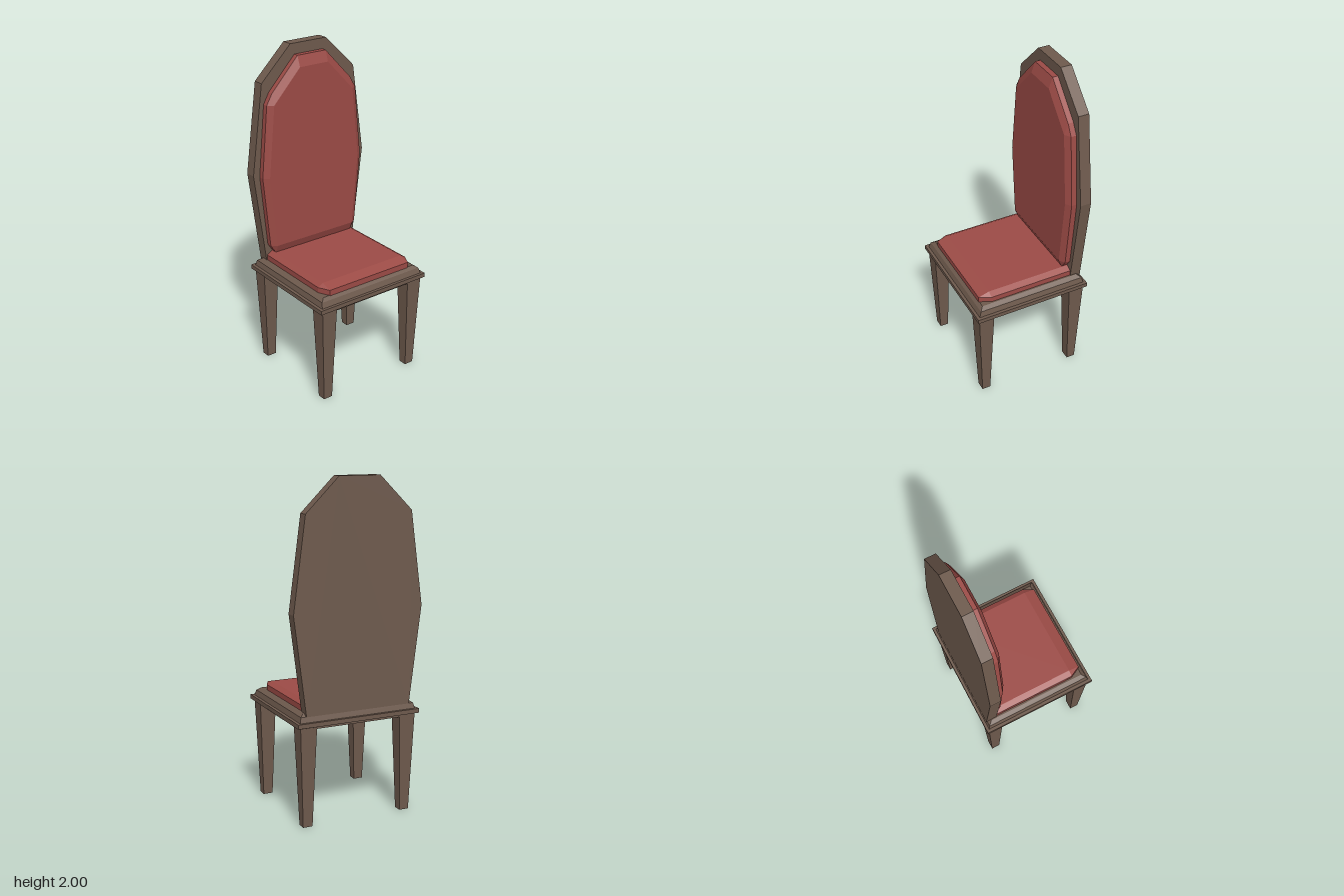
import * as THREE from 'three';
import { ConvexGeometry } from 'three/addons/geometries/ConvexGeometry.js';

const wood = new THREE.MeshStandardMaterial({ color: 0x6e5a4d, flatShading: true });
const fabric = new THREE.MeshStandardMaterial({ color: 0x9c4b46, flatShading: true });

// Faceted solid spanning a list of [x, y, z] corners
function solid(name, corners, material) {
  const geometry = new ConvexGeometry(corners.map((c) => new THREE.Vector3(...c)));
  const mesh = new THREE.Mesh(geometry, material);
  mesh.name = name;
  return mesh;
}

// Repeats the right half of an outline on the other side
const mirror = (points) => points.flatMap(([x, y, z]) => [[x, y, z], [-x, y, z]]);

// Horizontal rectangle at a given height
const rect = (y, x0, x1, z0, z1) => [[x0, y, z0], [x1, y, z0], [x1, y, z1], [x0, y, z1]];

// Upright half outline placed at depth z
const upright = (outline, z) => mirror(outline.map(([x, y]) => [x, y, z]));

// Flat half outline placed at height y
const flat = (outline, y) => mirror(outline.map(([x, z]) => [x, y, z]));

export function createModel() {
  const chair = new THREE.Group();
  chair.name = 'chair';

  // Four tapered legs
  for (const side of [1, -1]) {
    for (const end of [1, -1]) {
      const leg = solid(end > 0 ? 'frontLeg' : 'backLeg', [
        ...rect(0, 0.288, 0.347, 0.275, 0.328),
        ...rect(0.6, 0.267, 0.369, 0.254, 0.35),
      ].map(([x, y, z]) => [x * side, y, z * end]), wood);
      chair.add(leg);
    }
  }

  // Seat frame: apron, projecting ledge, bevelled top
  chair.add(solid('seatApron', [
    ...rect(0.59, -0.37, 0.37, -0.349, 0.349),
    ...rect(0.61, -0.37, 0.37, -0.349, 0.349),
  ], wood));
  chair.add(solid('seatLedge', [
    ...rect(0.606, -0.39, 0.39, -0.366, 0.366),
    ...rect(0.632, -0.39, 0.39, -0.366, 0.366),
  ], wood));
  chair.add(solid('seatTop', [
    ...rect(0.63, -0.371, 0.371, -0.349, 0.349),
    ...rect(0.665, -0.362, 0.362, -0.34, 0.336),
    ...rect(0.682, -0.338, 0.338, -0.316, 0.315),
  ], wood));

  // Seat cushion with clipped front corners and a sloping rim
  const seatOuter = [[0.327, -0.279], [0.327, 0.25], [0.293, 0.318]];
  const seatInner = [[0.293, -0.279], [0.293, 0.25]];
  chair.add(solid('seatCushion', [
    ...flat(seatOuter, 0.678),
    ...flat(seatOuter, 0.715),
    ...flat(seatInner, 0.735),
  ], fabric));

  // Tall faceted backrest
  const back = [[0.127, 2], [0.33, 1.8], [0.405, 1.25], [0.33, 0.665]];
  chair.add(solid('backrest', [...upright(back, -0.346), ...upright(back, -0.278)], wood));

  // Padded backrest with bevelled edge
  const padOuter = [[0.1, 1.935], [0.283, 1.74], [0.32, 1.675], [0.362, 1.235], [0.32, 0.785], [0.283, 0.73]];
  const padInner = [[0.1, 1.87], [0.283, 1.675], [0.326, 1.235], [0.283, 0.785]];
  chair.add(solid('backCushion', [
    ...upright(padOuter, -0.28),
    ...upright(padOuter, -0.245),
    ...upright(padInner, -0.222),
  ], fabric));

  return chair;
}
